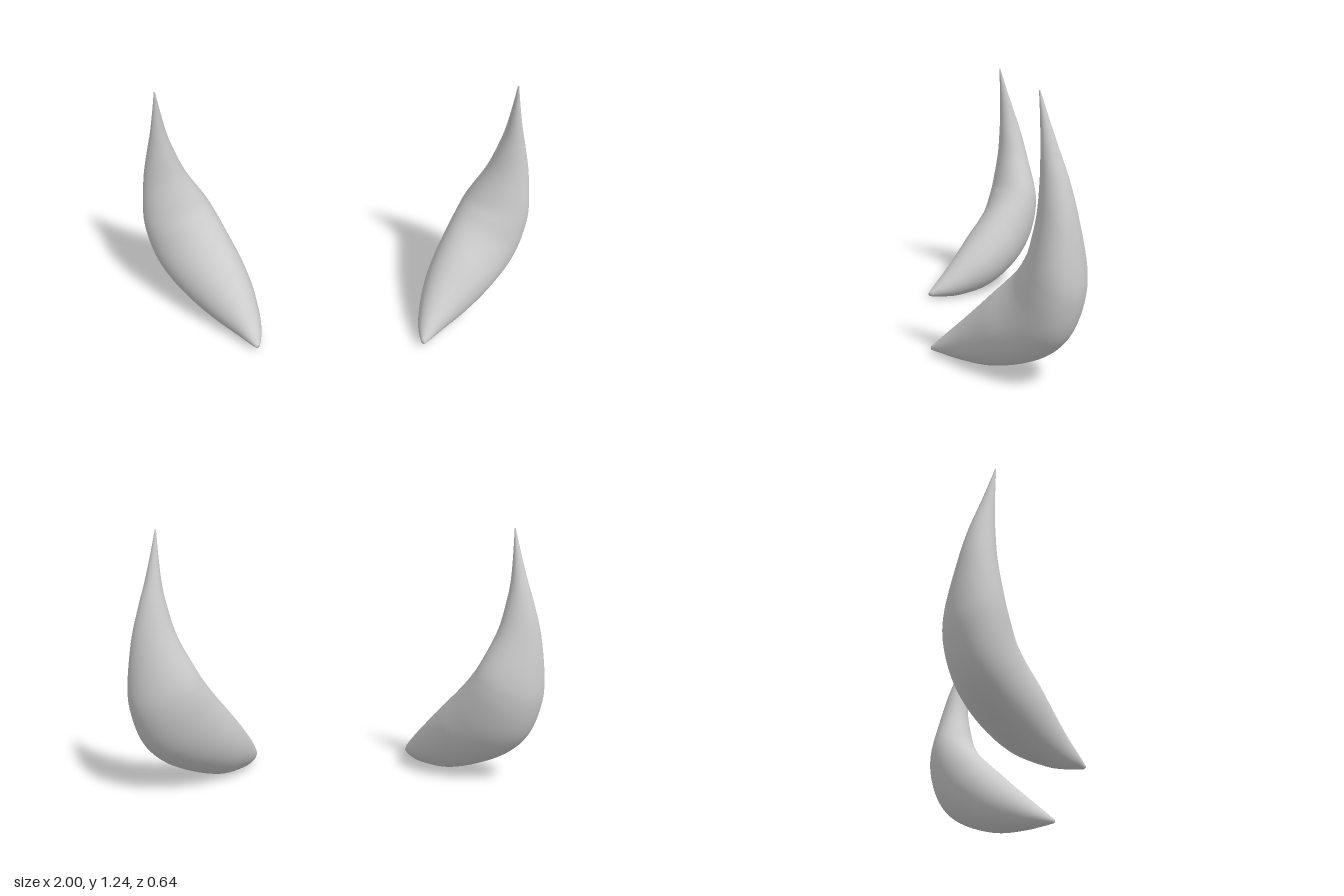
import * as THREE from 'three';

// Horn sections from the front point to the upper tip. Each row:
// inner edge (u, y), outer edge (u, y), sideways centre, half width, skew
// u runs diagonally out and back, w diagonally out and forward.
const SECTIONS = [
  [0.078, 0.040, 0.085, 0.020, 0.515, 0.012, 0],
  [0.120, 0.085, 0.150, 0.010, 0.487, 0.047, 0],
  [0.200, 0.165, 0.240, 0.002, 0.458, 0.083, 0.08],
  [0.300, 0.262, 0.400, 0.012, 0.434, 0.126, 0.10],
  [0.390, 0.350, 0.560, 0.060, 0.426, 0.152, 0.15],
  [0.460, 0.418, 0.710, 0.135, 0.425, 0.161, 0.22],
  [0.515, 0.475, 0.810, 0.235, 0.427, 0.164, 0.27],
  [0.560, 0.530, 0.866, 0.380, 0.432, 0.163, 0.27],
  [0.603, 0.600, 0.876, 0.520, 0.441, 0.149, 0.28],
  [0.660, 0.750, 0.851, 0.735, 0.466, 0.097, 0.23],
  [0.686, 0.900, 0.811, 0.890, 0.481, 0.061, 0.10],
  [0.694, 1.000, 0.772, 1.000, 0.491, 0.040, 0],
  [0.694, 1.120, 0.732, 1.120, 0.501, 0.020, 0],
  [0.690, 1.240, 0.695, 1.240, 0.511, 0.003, 0],
];
const ROWS = 80;
const SIDES = 48;

const curve = (pick) => new THREE.CatmullRomCurve3(
  SECTIONS.map((s) => new THREE.Vector3(...pick(s))), false, 'catmullrom', 0.5);
const innerEdge = curve((s) => [s[0], s[1], 0]);
const outerEdge = curve((s) => [s[2], s[3], 0]);
const widths = curve((s) => [s[4], s[5], s[6]]);

// side: +1 for the left horn, -1 for its mirror image
function hornGeometry(side) {
  const positions = [];
  const index = [];
  const last = ROWS + 2; // first and last rows close the ends
  for (let i = 0; i <= last; i++) {
    const t = THREE.MathUtils.clamp((i - 1) / ROWS, 0, 1);
    const size = i === 0 || i === last ? 0 : 1;
    const inner = innerEdge.getPoint(t);
    const outer = outerEdge.getPoint(t);
    const { x: centre, y: half, z: skew } = widths.getPoint(t);
    const straight = Math.sqrt(1 - skew * skew);
    for (let j = 0; j < SIDES; j++) {
      const a = (j / SIDES) * Math.PI * 2;
      // skewed ellipse between the inner and outer edge
      const along = size * (Math.cos(a) * straight + Math.sin(a) * skew);
      const p = inner.clone().lerp(outer, 0.5 + along / 2);
      const w = centre + size * half * Math.sin(a);
      positions.push(side * (0.72 * p.x + 0.69 * w), p.y, -0.69 * p.x + 0.72 * w);
    }
  }
  for (let i = 0; i < last; i++) {
    for (let j = 0; j < SIDES; j++) {
      const k = (j + 1) % SIDES;
      const a = i * SIDES + j, b = i * SIDES + k;
      const c = a + SIDES, d = b + SIDES;
      if (side > 0) index.push(a, c, b, b, c, d);
      else index.push(a, b, c, b, d, c);
    }
  }
  const geometry = new THREE.BufferGeometry();
  geometry.setAttribute('position', new THREE.Float32BufferAttribute(positions, 3));
  geometry.setIndex(index);
  geometry.computeVertexNormals();
  return geometry;
}

export function createModel() {
  const group = new THREE.Group();
  group.name = 'hornPair';
  const material = new THREE.MeshStandardMaterial({ color: 0xcccccc });
  for (const [name, side] of [['leftHorn', 1], ['rightHorn', -1]]) {
    const horn = new THREE.Mesh(hornGeometry(side), material);
    horn.name = name;
    group.add(horn);
  }
  return group;
}
